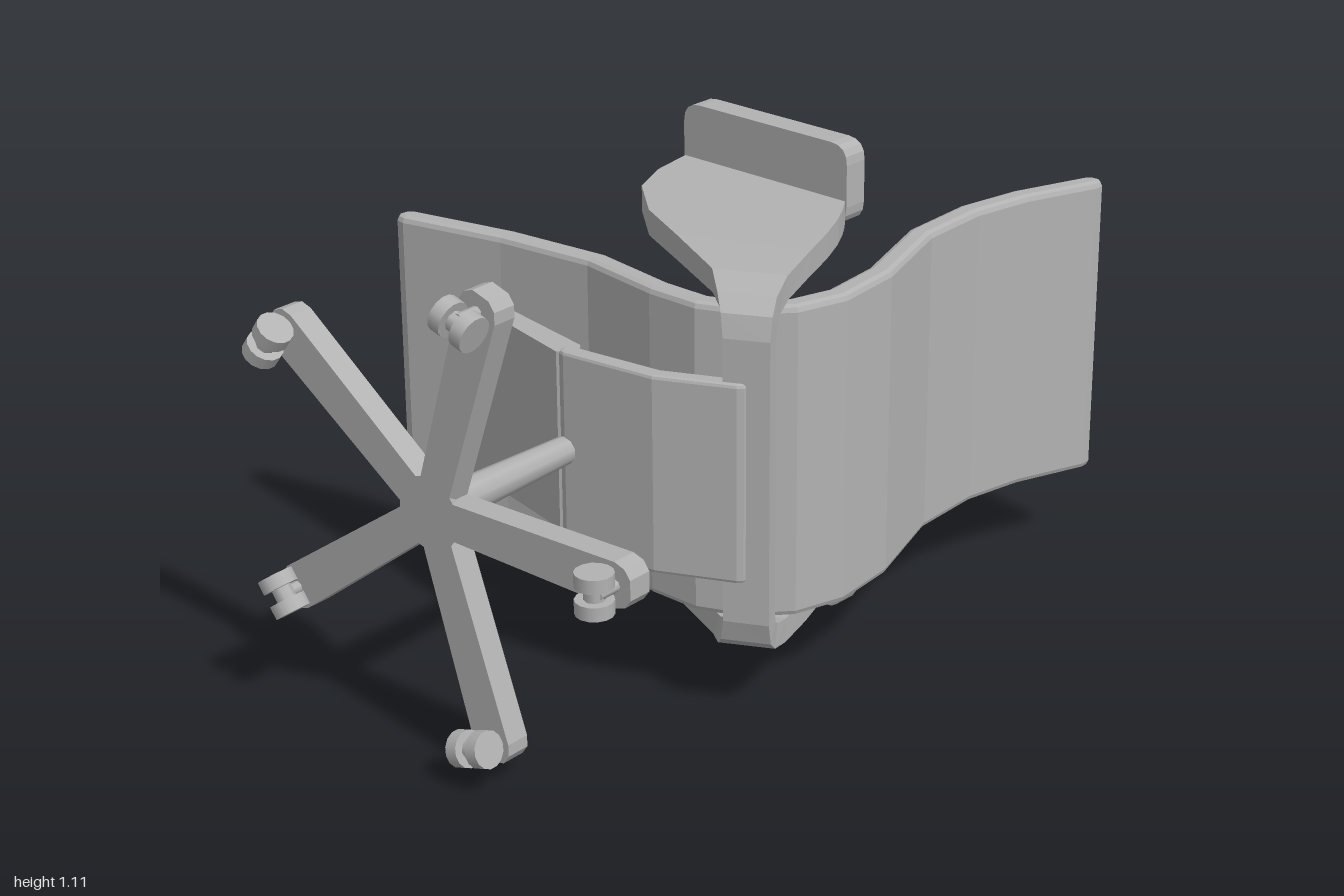
import * as THREE from 'three';

const MID = 0.555; // height of the chair's mirror plane (the chair lies on its side)
const gray = new THREE.MeshStandardMaterial({ color: 0xb2b2b2 });
gray.name = 'gray';

function add(parent, name, geometry) {
  const mesh = new THREE.Mesh(geometry, gray);
  mesh.name = name;
  parent.add(mesh);
  return mesh;
}

// Extrudes an outline given in (x, z) along y, centred on y = mid
function prism(points, height, mid, bevel = 0) {
  const shape = new THREE.Shape(points.map(([x, z]) => new THREE.Vector2(x, -z)));
  const geo = new THREE.ExtrudeGeometry(shape, {
    depth: height - 2 * bevel, bevelEnabled: bevel > 0, bevelThickness: bevel,
    bevelSize: bevel, bevelOffset: -bevel, bevelSegments: 2,
  });
  geo.rotateX(-Math.PI / 2);
  geo.translate(0, mid - height / 2 + bevel, 0);
  return geo;
}

// Outline of a strip of constant thickness around a line, with rounded ends
function strip(line, thickness) {
  const p = line.map(([x, z]) => new THREE.Vector2(x, z));
  const r = thickness / 2, left = [], right = [], n = p.length;
  const dir = (i) => p[i + 1].clone().sub(p[i]).normalize();
  p.forEach((c, i) => {
    const a = dir(Math.max(0, i - 1)), b = dir(Math.min(n - 2, i));
    const t = a.clone().add(b).normalize();
    const m = r / t.dot(b);
    left.push([c.x - t.y * m, c.y + t.x * m]);
    right.push([c.x + t.y * m, c.y - t.x * m]);
  });
  const cap = (c, t) => [-0.7, 0, 0.7].map((k) => {
    const f = Math.sqrt(1 - k * k) * r;
    return [c.x + t.x * f + t.y * r * k, c.y + t.y * f - t.x * r * k];
  });
  return [...left, ...cap(p[n - 1], dir(n - 2)),
    ...right.reverse(), ...cap(p[0], dir(0).negate())];
}

// Bent sheet running from one armrest, under the seat bend, to the other
function armFrameGeometry() {
  // edge A x, z, edge B x, z, outer half height, inner half height, inward shift
  const half = [
    [0.125, -0.5, 0.30, -0.07, 0.43, 0.372, 0],
    [0.03, -0.44, 0.27, -0.025, 0.43, 0.372, 0],
    [-0.05, -0.355, 0.235, 0.02, 0.43, 0.372, 0],
    [-0.10, -0.21, 0.175, 0.085, 0.43, 0.372, 0],
    [-0.11, -0.05, 0.095, 0.16, 0.428, 0.372, 0],
    [-0.12, 0.14, 0, 0.245, 0.42, 0.365, 0.005],
    [-0.145, 0.215, -0.05, 0.295, 0.4, 0.352, 0.025],
    [-0.157, 0.255, -0.075, 0.325, 0.37, 0.335, 0.04],
    [-0.16, 0.27, -0.085, 0.335, 0.32, 0.305, 0.048],
  ];
  const ring = ([ax, az, bx, bz, ho, hi, t], s) => {
    const dx = 0.66 * t, dz = -0.75 * t;
    return [[ax, MID + s * ho, az], [bx, MID + s * ho, bz],
      [bx + dx, MID + s * hi, bz + dz], [ax + dx, MID + s * hi, az + dz]];
  };
  const rings = [...half.map((h) => ring(h, 1)), ...half.slice().reverse().map((h) => ring(h, -1))];
  const pos = [];
  for (let i = 0; i < rings.length - 1; i++) {
    for (let j = 0; j < 4; j++) {
      const k = (j + 1) % 4;
      const a = rings[i][j], b = rings[i + 1][j], c = rings[i + 1][k], d = rings[i][k];
      pos.push(...a, ...b, ...c, ...a, ...c, ...d);
    }
  }
  const geo = new THREE.BufferGeometry();
  geo.setAttribute('position', new THREE.Float32BufferAttribute(pos, 3));
  geo.computeVertexNormals();
  return geo;
}

// Armrest pad: rounded slab, length along x and height along y
function padGeometry() {
  const l = 0.235, b = 0.37, t = 0.555, r = 0.045;
  const s = new THREE.Shape();
  s.moveTo(-l + r, b);
  s.lineTo(l - r, b);
  s.quadraticCurveTo(l, b, l, b + r);
  s.lineTo(l, t - r);
  s.quadraticCurveTo(l, t, l - r, t);
  s.lineTo(-l + r, t);
  s.quadraticCurveTo(-l, t, -l, t - r);
  s.lineTo(-l, b + r);
  s.quadraticCurveTo(-l, b, -l + r, b);
  const geo = new THREE.ExtrudeGeometry(s, { depth: 0.06, bevelEnabled: false, curveSegments: 4 });
  return geo.translate(0, 0, -0.03);
}

// Five-legged base, built upright with the hub at the origin
function makeBase() {
  const base = new THREE.Group();
  base.name = 'base';
  const column = add(base, 'column', new THREE.CylinderGeometry(0.03, 0.042, 0.41, 10).toNonIndexed());
  column.position.y = 0.2;
  const hub = add(base, 'hub', new THREE.CylinderGeometry(0.045, 0.085, 0.08, 10));
  hub.position.y = 0.012;

  const outline = [[0, -0.04], [0.5, -0.05], [0.525, -0.042], [0.54, -0.022],
    [0.54, 0.022], [0.525, 0.042], [0.5, 0.05], [0, 0.04]];
  for (let i = 0; i < 5; i++) {
    const leg = new THREE.Group();
    leg.name = 'leg' + (i + 1);
    leg.rotation.y = (i * Math.PI * 2) / 5;
    base.add(leg);
    add(leg, 'legBar', prism(outline, 0.056, 0));
    // twin-wheel caster
    const stem = add(leg, 'casterStem', new THREE.CylinderGeometry(0.014, 0.014, 0.07, 8));
    stem.position.set(0.5, -0.045, 0);
    const axle = add(leg, 'casterAxle', new THREE.CylinderGeometry(0.022, 0.022, 0.05, 8));
    axle.rotation.x = Math.PI / 2;
    axle.position.set(0.49, -0.075, 0);
    for (const side of [-1, 1]) {
      const wheel = add(leg, 'casterWheel', new THREE.CylinderGeometry(0.04, 0.04, 0.03, 14));
      wheel.rotation.x = Math.PI / 2;
      wheel.position.set(0.49, -0.075, side * 0.029);
    }
  }
  return base;
}

export function createModel() {
  const chair = new THREE.Group();
  chair.name = 'chair';

  // One continuous shell forms the seat and the backrest
  const shellLine = [[-0.495, -0.61], [-0.35, -0.4], [-0.235, -0.185], [-0.185, 0.02],
    [-0.14, 0.13], [-0.07, 0.2], [0.02, 0.232], [0.13, 0.22], [0.27, 0.145],
    [0.46, -0.02], [0.63, -0.1], [0.78, -0.132], [0.968, -0.14]];
  add(chair, 'seatShell', prism(strip(shellLine, 0.055), 0.71, MID, 0.014));

  // Arm frame and pads
  add(chair, 'armFrame', armFrameGeometry());
  const along = new THREE.Vector3(0.38, 0, 0.925).normalize();
  for (const side of [1, -1]) {
    const up = new THREE.Vector3(0, side, 0);
    const pad = add(chair, side > 0 ? 'upperArmPad' : 'lowerArmPad', padGeometry());
    pad.quaternion.setFromRotationMatrix(
      new THREE.Matrix4().makeBasis(along, up, along.clone().cross(up)));
    pad.position.set(0.24, MID, -0.296);
  }

  // Support under the seat
  add(chair, 'supportWedge', prism(
    [[-0.45, -0.42], [-0.44, -0.44], [-0.41, -0.435], [-0.33, -0.06], [-0.35, -0.02], [-0.39, -0.05]],
    0.41, MID + 0.01));
  add(chair, 'supportPlate', prism(strip([[-0.37, -0.03], [-0.26, 0.165], [-0.13, 0.285]], 0.04), 0.45, MID, 0.008));

  // Base, tipped over with the rest of the chair
  const base = makeBase();
  const forward = new THREE.Vector3(0.41, 0, 0.912).normalize();
  const upright = new THREE.Vector3(forward.z, 0, -forward.x);
  base.quaternion.setFromRotationMatrix(
    new THREE.Matrix4().makeBasis(forward, upright, forward.clone().cross(upright)));
  base.position.set(-0.732, MID, 0.132);
  chair.add(base);

  return chair;
}
